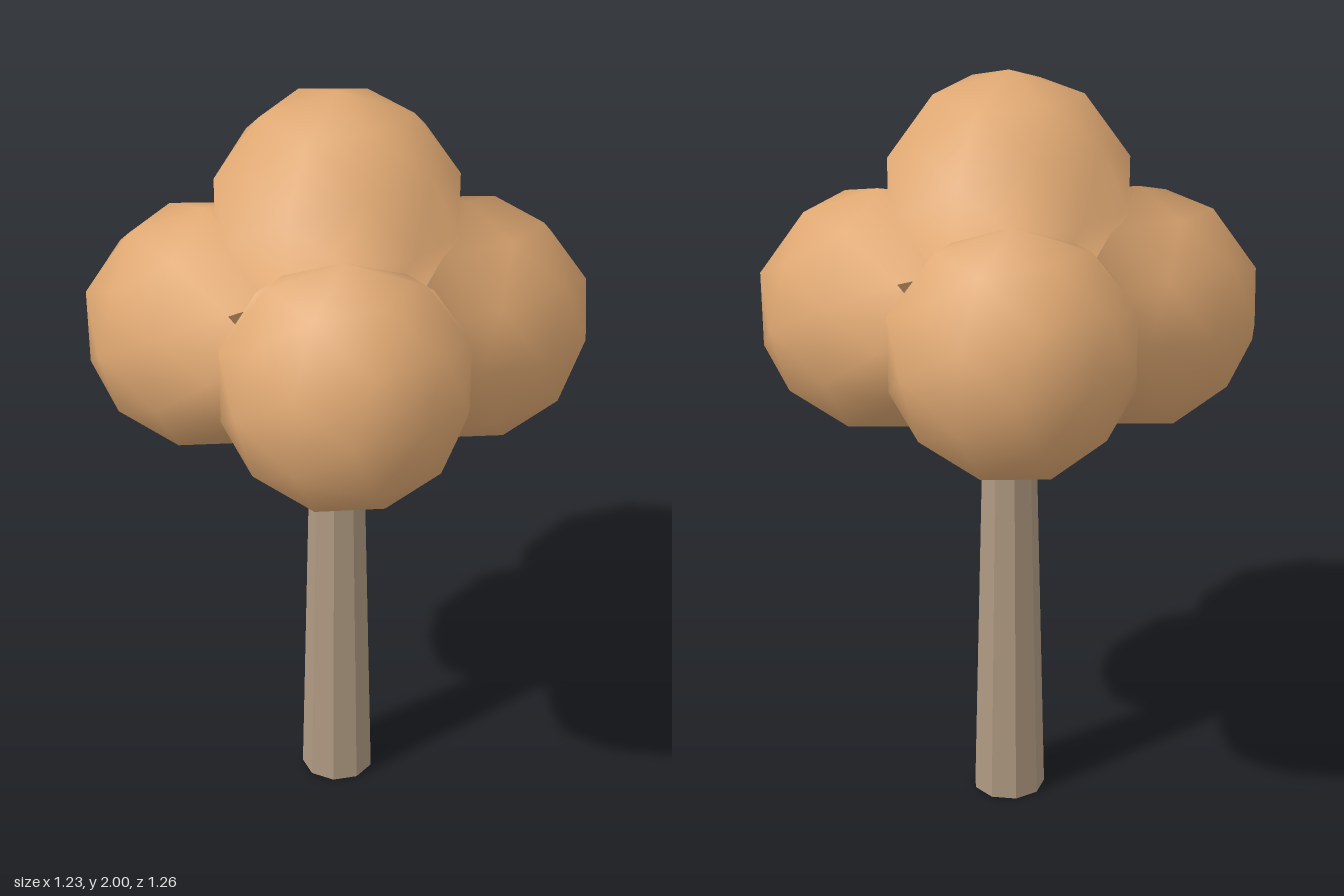
import * as THREE from 'three';

const R = 0.31;          // radius of every foliage clump
const SPREAD = 0.32;     // distance of the side clumps from the trunk axis

const CLUMPS = [
  ['topClump', 0, 1.69, 0],
  ['leftClump', SPREAD, 1.4, 0],
  ['rightClump', -SPREAD, 1.4, 0],
  ['frontClump', 0, 1.4, SPREAD],
  ['backClump', 0, 1.4, -SPREAD],
].map(([name, x, y, z]) => ({ name, center: new THREE.Vector3(x, y, z) }));

// Normal shared by all clumps, so the shading flows from one into the next
function blendedNormal(p) {
  const n = new THREE.Vector3();
  const d = new THREE.Vector3();
  for (const { center } of CLUMPS) {
    d.subVectors(p, center);
    const dist = d.length();
    n.addScaledVector(d, Math.exp(-12 * (dist - R)) / Math.max(dist, 1e-4));
  }
  return n.normalize();
}

// Coarse sphere with a corner towards the front
function clumpGeometry(center) {
  const geo = new THREE.IcosahedronGeometry(R, 1);
  geo.rotateY(-Math.atan((1 + Math.sqrt(5)) / 2));
  geo.translate(center.x, center.y, center.z);
  const pos = geo.attributes.position;
  const p = new THREE.Vector3();
  for (let i = 0; i < pos.count; i++) {
    const n = blendedNormal(p.fromBufferAttribute(pos, i));
    geo.attributes.normal.setXYZ(i, n.x, n.y, n.z);
  }
  return geo;
}

export function createModel() {
  const model = new THREE.Group();
  model.name = 'tree';

  const bark = new THREE.MeshStandardMaterial({ color: 0xb09a82, flatShading: true });
  const leaves = new THREE.MeshStandardMaterial({ color: 0xdfa872 });

  // Tapered nine-sided trunk, reaching up into the foliage
  const trunkHeight = 1.4;
  const trunkGeo = new THREE.CylinderGeometry(0.062, 0.098, trunkHeight, 9, 1, false, -Math.PI / 2);
  trunkGeo.scale(1, 1, 0.95);
  const trunk = new THREE.Mesh(trunkGeo, bark);
  trunk.name = 'trunk';
  trunk.position.y = trunkHeight / 2;
  model.add(trunk);

  // Foliage: one clump on top, four around the trunk
  const foliage = new THREE.Group();
  foliage.name = 'foliage';
  for (const { name, center } of CLUMPS) {
    const clump = new THREE.Mesh(clumpGeometry(center), leaves);
    clump.name = name;
    foliage.add(clump);
  }
  model.add(foliage);

  return model;
}
